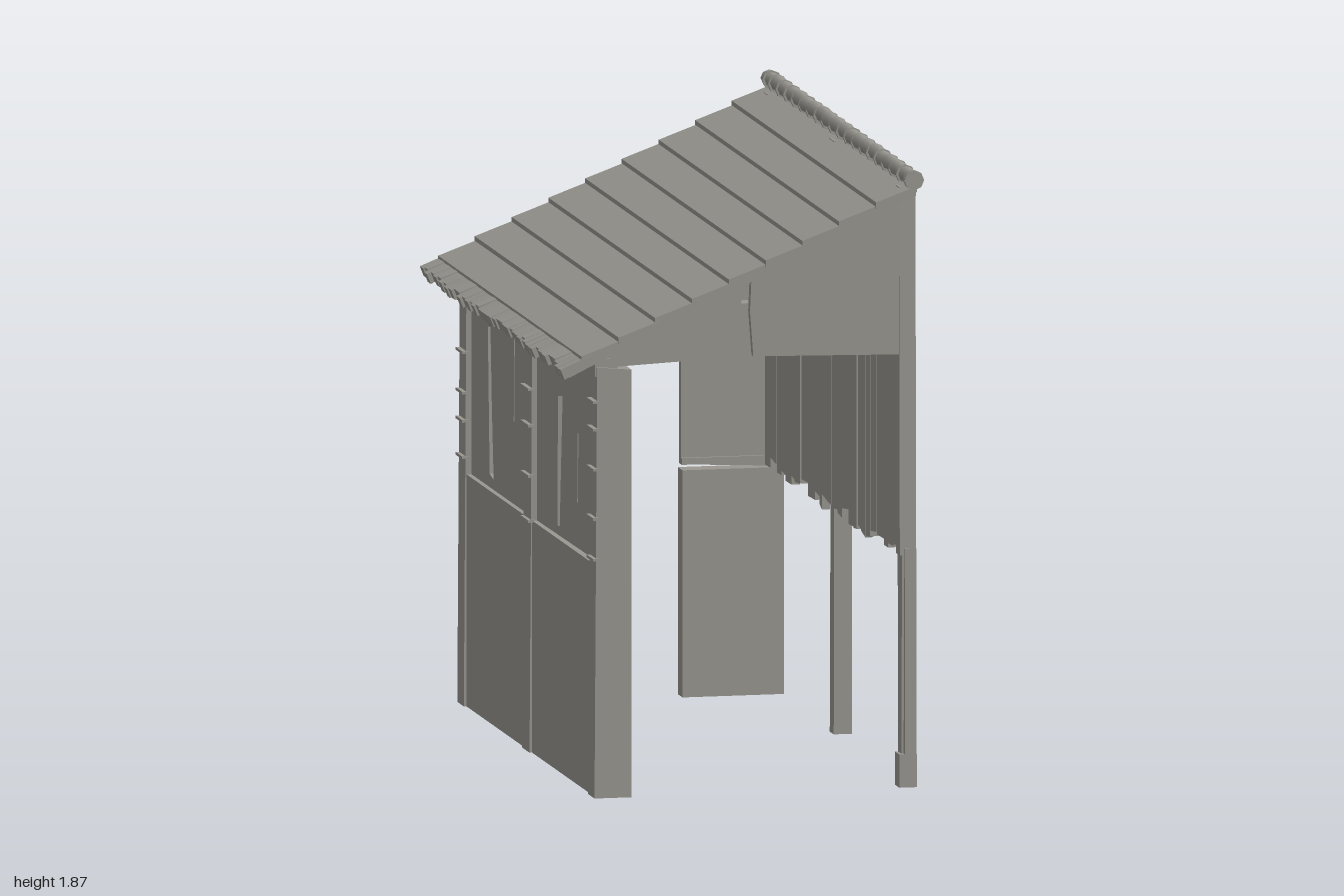
import * as THREE from 'three';

export function createModel() {
  const model = new THREE.Group();
  model.name = 'shed';
  const wood = new THREE.MeshStandardMaterial({ color: 0x999790 });
  wood.name = 'weathered grey wood';

  let seed = 7;
  const rand = () => (seed = (seed * 16807) % 2147483647) / 2147483647;
  const jitter = (a) => (rand() - 0.5) * 2 * a;

  function add(name, geo) {
    const mesh = new THREE.Mesh(geo, wood);
    mesh.name = name;
    model.add(mesh);
    return mesh;
  }
  // box given by its limits
  function box(name, x0, x1, y0, y1, z0, z1) {
    const mesh = add(name, new THREE.BoxGeometry(x1 - x0, y1 - y0, z1 - z0));
    mesh.position.set((x0 + x1) / 2, (y0 + y1) / 2, (z0 + z1) / 2);
    return mesh;
  }
  function extrude(pts, depth, holes = []) {
    const v = (list) => list.map(([a, b]) => new THREE.Vector2(a, b));
    const shape = new THREE.Shape(v(pts));
    holes.forEach((h) => shape.holes.push(new THREE.Path(v(h))));
    return new THREE.ExtrudeGeometry(shape, { depth, bevelEnabled: false });
  }
  // outline in x,y with thickness along z
  function plateZ(name, pts, z0, z1, holes) {
    const mesh = add(name, extrude(pts, z1 - z0, holes));
    mesh.position.z = z0;
  }
  // outline in z,y with thickness along x
  function plateX(name, pts, x0, x1, holes) {
    const mesh = add(name, extrude(pts, x1 - x0, holes).rotateY(-Math.PI / 2));
    mesh.position.x = x1;
  }
  const roofY = (x) => 1.31 + 0.485 * (x + 0.55);
  const under = (x) => roofY(x) - 0.03;

  // ---- roof: lapped boards running along z
  const count = 9, top = 0.53, low = -0.48, step = (top - low) / count;
  for (let i = 0; i < count; i++) {
    const a = top - i * step, b = a - step - 0.012;
    plateZ('roofBoard', [
      [a, roofY(a) - 0.012], [b, roofY(b) + 0.003], [b, roofY(b) - 0.018], [a, roofY(a) - 0.03],
    ], -0.985 + jitter(0.005), 0.985 + jitter(0.006));
  }
  // eave shingles
  const shingles = 44;
  for (let i = 0; i < shingles; i++) {
    const z = -0.985 + (i * 1.97) / shingles, end = -0.55 + jitter(0.007), lift = jitter(0.004);
    plateZ('eaveShingle', [
      [-0.46, roofY(-0.46) - 0.008], [end, roofY(end) + lift],
      [end + 0.012, roofY(end) - 0.03 + lift], [-0.46, roofY(-0.46) - 0.036],
    ], z, z + 1.97 / shingles - 0.002);
  }
  // barge strips under the overhanging roof ends
  for (const z of [-0.98, 0.95]) {
    plateZ('bargeBoard', [
      [-0.53, under(-0.53) + 0.012], [0.53, under(0.53) + 0.012], [0.53, under(0.53) - 0.012], [-0.53, under(-0.53) - 0.012],
    ], z, z + 0.03);
  }

  // ---- ridge cap: overlapping tapered tiles and end knobs
  const tiles = 19;
  for (let i = 0; i < tiles; i++) {
    const len = 1.96 / tiles;
    const tile = add('ridgeTile', new THREE.CylinderGeometry(0.019, 0.025, len + 0.012, 8).rotateX(Math.PI / 2));
    tile.position.set(0.52 + jitter(0.003), 1.844 + jitter(0.003), -0.98 + (i + 0.5) * len);
    const band = add('ridgeBand', new THREE.CylinderGeometry(0.029, 0.029, 0.014, 8).rotateX(Math.PI / 2));
    band.position.set(0.52, 1.841, -0.98 + (i + 0.96) * len);
  }
  for (const z of [-0.975, 0.975]) {
    const knob = add('ridgeEnd', new THREE.CylinderGeometry(0.03, 0.024, 0.05, 8).rotateX(Math.PI / 2));
    knob.position.set(0.52, 1.841, z);
  }
  // ragged tile edge hanging below the ridge
  for (let i = 0; i < 28; i++) {
    const z = -0.92 + i * 0.0655;
    box('ridgeFringe', 0.515, 0.545, 1.8 - rand() * 0.018, 1.83, z, z + 0.062);
  }

  // ---- high side wall: boards with a jagged foot, framed by beams
  let z = -0.9;
  while (z < 0.89) {
    const w = Math.min(0.03 + rand() * 0.07, 0.9 - z);
    const foot = 0.705 + jitter(0.02), out = 0.512 + jitter(0.003);
    plateX('sideBoard', [[z, foot], [z + w, foot + jitter(0.012)], [z + w, 1.8], [z, 1.8]], out - 0.025, out);
    z += w;
  }
  for (const [a, b] of [[-0.88, -0.03], [0.03, 0.875]]) {
    plateX('topRail', [[a, 1.715], [b, 1.725], [b, 1.79], [a, 1.78]], 0.5, 0.535);
    plateX('bottomRail', [[a, 0.765], [b, 0.755], [b, 0.82], [a, 0.832]], 0.5, 0.535);
  }
  plateX('middlePost', [[-0.025, 0.02], [0.03, 0.02], [0.032, 1.81], [-0.032, 1.81], [-0.03, 0.73], [-0.015, 0.7]], 0.49, 0.545);
  plateX('frontCornerPost', [[0.88, 0.7], [0.935, 0.7], [0.925, 1.81], [0.875, 1.81]], 0.49, 0.54);
  plateX('frontCornerLeg', [[0.875, 0.09], [0.92, 0.09], [0.93, 0.72], [0.87, 0.72]], 0.498, 0.532);
  box('frontCornerFoot', 0.488, 0.542, 0, 0.1, 0.875, 0.938);
  box('frontCornerOuterLeg', 0.505, 0.54, 0.08, 0.72, 0.912, 0.938);
  plateX('backCornerPost', [[-0.935, 0.69], [-0.88, 0.69], [-0.875, 1.81], [-0.925, 1.81]], 0.49, 0.542);

  // ---- low side wall: solid base panel, split boards above, thick posts
  box('baseWall', -0.435, -0.365, 0, 0.7, -0.9, 0.9);
  plateX('upperWall', [[-0.9, 0.695], [0.9, 0.705], [0.9, 1.325], [-0.9, 1.325]], -0.42, -0.395, [
    [[-0.6, 0.74], [-0.545, 0.73], [-0.57, 0.95], [-0.59, 1.2], [-0.625, 1.18]],
    [[0.33, 0.73], [0.36, 0.73], [0.4, 1.13], [0.335, 1.12]],
    [[-0.27, 0.95], [-0.26, 0.95], [-0.255, 1.2], [-0.265, 1.2]],
    [[0.6, 0.84], [0.612, 0.84], [0.615, 1.05], [0.605, 1.05]],
  ]);
  const lowPosts = [[0.85, 0.94, -0.33], [-0.055, 0.05, -0.29], [-0.94, -0.85, -0.32]];
  for (const [a, b, x1] of lowPosts) {
    plateZ('lowPost', [[-0.443, 0], [x1, 0], [x1, 1.29], [-0.435, 1.3]], a, b);
    // splinters
    for (let i = 0; i < 5; i++) {
      const y = 0.72 + i * 0.12 + jitter(0.03);
      box('splinter', -0.45, -0.43, y, y + 0.008, a + 0.01, b + 0.008);
    }
  }
  box('wallPlate', -0.44, -0.37, 1.27, 1.325, -0.93, 0.93);

  // ---- front gable with a split at the bottom edge
  plateZ('frontGable', [
    [-0.43, 1.295], [-0.33, 1.3], [-0.005, 1.315], [0.005, 1.42], [0.012, 1.55], [0.04, 1.565],
    [0.035, 1.45], [0.045, 1.315], [0.51, 1.305], [0.535, 1.3], [0.535, under(0.535)], [-0.43, under(-0.43)],
  ], 0.9, 0.925);

  // ---- back wall: thick base panels either side of the doorway
  box('backBaseLeft', 0.23, 0.54, 0, 0.685, -0.94, -0.875);
  box('backBaseRight', -0.43, -0.105, 0, 0.685, -0.94, -0.875);
  plateZ('backUpperWall', [
    [-0.43, 0.705], [-0.32, 0.695], [-0.24, 0.69], [-0.12, 0.697], [-0.115, 0.8], [-0.102, 0.95], [-0.102, 1.28],
    [0.23, 1.275], [0.23, 0.7], [0.49, 0.688], [0.535, 0.688], [0.535, under(0.535)], [-0.43, under(-0.43)],
  ], -0.925, -0.895, [[[-0.242, 0.905], [-0.218, 0.905], [-0.225, 0.73], [-0.237, 0.74]]]);
  box('windowSill', -0.29, -0.17, 0.69, 0.735, -0.935, -0.92);
  box('windowHead', -0.29, -0.17, 0.91, 0.945, -0.935, -0.92);
  box('backRail', 0.23, 0.48, 0.7, 0.72, -0.9, -0.885);

  // ---- inside framing
  box('tieBeam', -0.3, 0.5, 1.305, 1.33, -0.03, 0.03);
  box('backTieBeam', -0.3, 0.51, 1.3, 1.33, -0.9, -0.87);
  for (const c of [-0.62, -0.31, 0, 0.31, 0.62]) {
    plateZ('rafter', [
      [-0.41, under(-0.41)], [0.49, under(0.49)], [0.49, under(0.49) - 0.04], [-0.41, under(-0.41) - 0.04],
    ], c - 0.02, c + 0.02);
  }
  return model;
}
